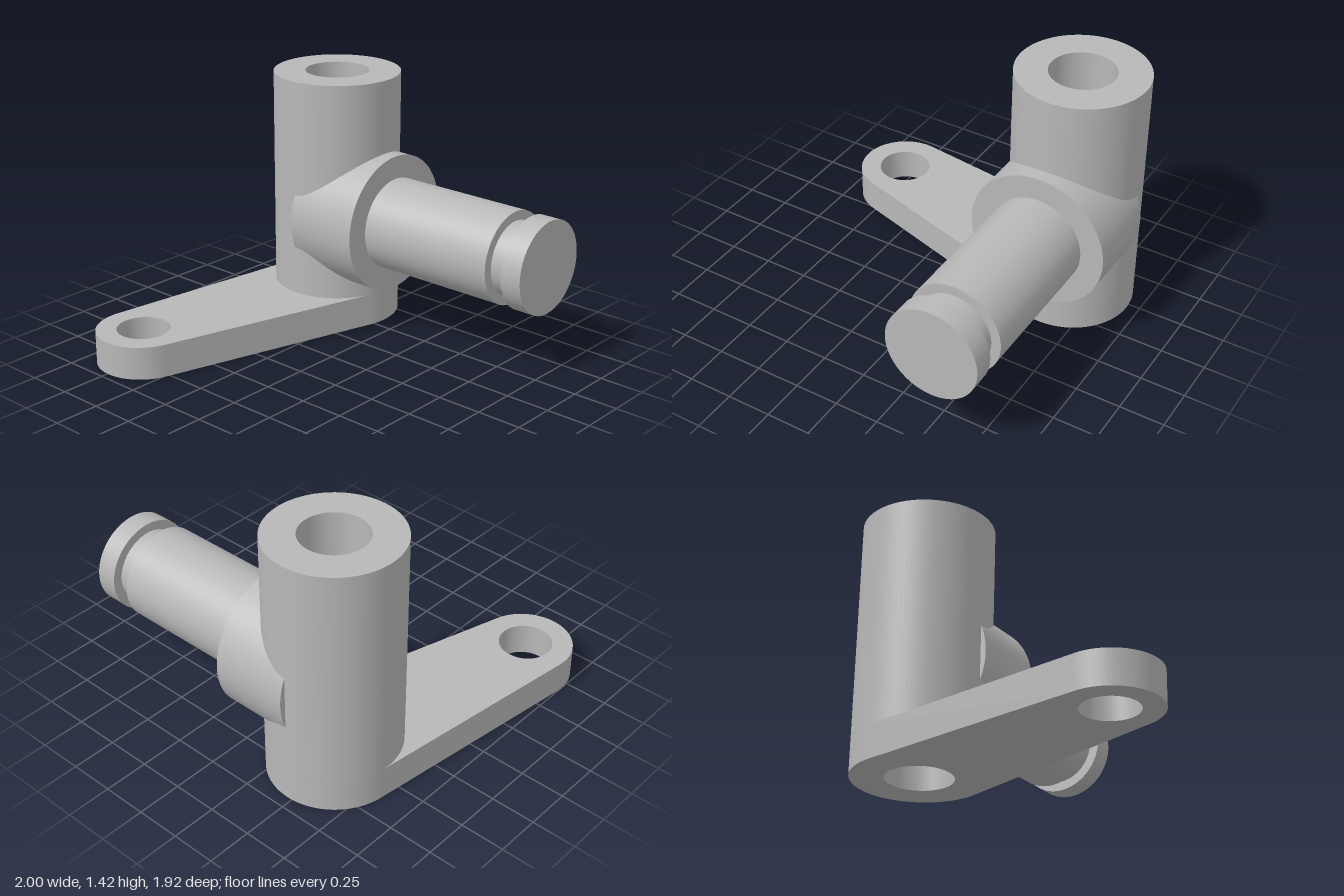
import * as THREE from 'three';
import { toCreasedNormals } from 'three/addons/utils/BufferGeometryUtils.js';

const POST = { x: -0.47, z: -0.575, r: 0.358, bore: 0.18, top: 1.425 };
const EYE = { x: -0.74, z: 0.7, r: 0.26, bore: 0.147 };
const ARM_T = 0.185;
const COLLAR = { y: 0.617, r: 0.39, x0: POST.x, x1: -0.035 };

function lathe(points) {
  const pts = points.map(([r, y]) => new THREE.Vector2(r, y));
  return toCreasedNormals(new THREE.LatheGeometry(pts, 96), 0.6);
}

// Flat lever: two bored round ends joined by tangent lines
function armGeometry() {
  const dx = EYE.x - POST.x, dz = EYE.z - POST.z;
  const phi = Math.atan2(dz, dx);
  const beta = Math.acos((POST.r - EYE.r) / Math.hypot(dx, dz));
  const shape = new THREE.Shape();
  shape.absarc(POST.x, POST.z, POST.r, phi + beta, phi - beta + 2 * Math.PI, false);
  shape.absarc(EYE.x, EYE.z, EYE.r, phi - beta, phi + beta, false);
  shape.closePath();
  for (const c of [POST, EYE]) {
    shape.holes.push(new THREE.Path().absarc(c.x, c.z, c.bore, 0, 2 * Math.PI, true));
  }
  const geo = new THREE.ExtrudeGeometry(shape, { depth: ARM_T, bevelEnabled: false, curveSegments: 48 });
  geo.rotateX(Math.PI / 2).translate(0, ARM_T, 0);
  return toCreasedNormals(geo, 0.6);
}

// Collar wall, trimmed where it meets the round post so the bore stays clear
function collarGeometry(theta) {
  const angles = [];
  const span = (from, to, n) => {
    for (let i = 0; i <= n; i++) {
      angles.push((from + to) / 2 - Math.cos((Math.PI * i) / n) * (to - from) / 2);
    }
  };
  span(-theta, theta, 16);
  span(theta, Math.PI - theta, 48);
  span(Math.PI - theta, Math.PI + theta, 16);
  span(Math.PI + theta, 2 * Math.PI - theta, 48);

  const pos = [], nor = [], idx = [];
  angles.forEach((a, i) => {
    const s = Math.sin(a), c = Math.cos(a), z = COLLAR.r * c;
    const start = COLLAR.x0 + Math.sqrt(Math.max(0, POST.r ** 2 - z * z));
    for (const x of [start, COLLAR.x1]) {
      pos.push(x, COLLAR.y + COLLAR.r * s, POST.z + z);
      nor.push(0, s, c);
    }
    if (i < angles.length - 1) {
      const k = 2 * i;
      idx.push(k, k + 1, k + 2, k + 1, k + 3, k + 2);
    }
  });
  const geo = new THREE.BufferGeometry();
  geo.setAttribute('position', new THREE.Float32BufferAttribute(pos, 3));
  geo.setAttribute('normal', new THREE.Float32BufferAttribute(nor, 3));
  geo.setIndex(idx);
  return geo;
}

export function createModel() {
  const model = new THREE.Group();
  model.name = 'leverBracket';
  const steel = new THREE.MeshStandardMaterial({ color: 0xb8b8b8 });
  steel.name = 'steel grey';
  const add = (name, geo) => {
    const mesh = new THREE.Mesh(geo, steel);
    mesh.name = name;
    model.add(mesh);
    return mesh;
  };

  add('leverArm', armGeometry());

  // Upright bored post standing on the arm
  add('post', lathe([
    [POST.r, ARM_T], [POST.r, POST.top], [POST.bore, POST.top], [POST.bore, ARM_T],
  ])).position.set(POST.x, 0, POST.z);

  // Collar wall and the two slivers closing its back beside the post
  const theta = Math.acos(POST.r / COLLAR.r);
  add('collar', collarGeometry(theta));
  for (const mid of [0, Math.PI]) {
    const sliver = new THREE.Shape();
    sliver.absarc(0, 0, COLLAR.r, mid - theta, mid + theta, false);
    const geo = new THREE.ShapeGeometry(sliver, 24).rotateY(-Math.PI / 2);
    add('collarBack', geo).position.set(COLLAR.x0, COLLAR.y, POST.z);
  }

  // Collar face and grooved shaft
  add('shaft', lathe([
    [COLLAR.r, COLLAR.x1], [0.26, COLLAR.x1], [0.26, 0.78], [0.207, 0.78],
    [0.207, 0.88], [0.26, 0.88], [0.26, 1], [0, 1],
  ]).rotateZ(-Math.PI / 2)).position.set(0, COLLAR.y, POST.z);

  return model;
}
